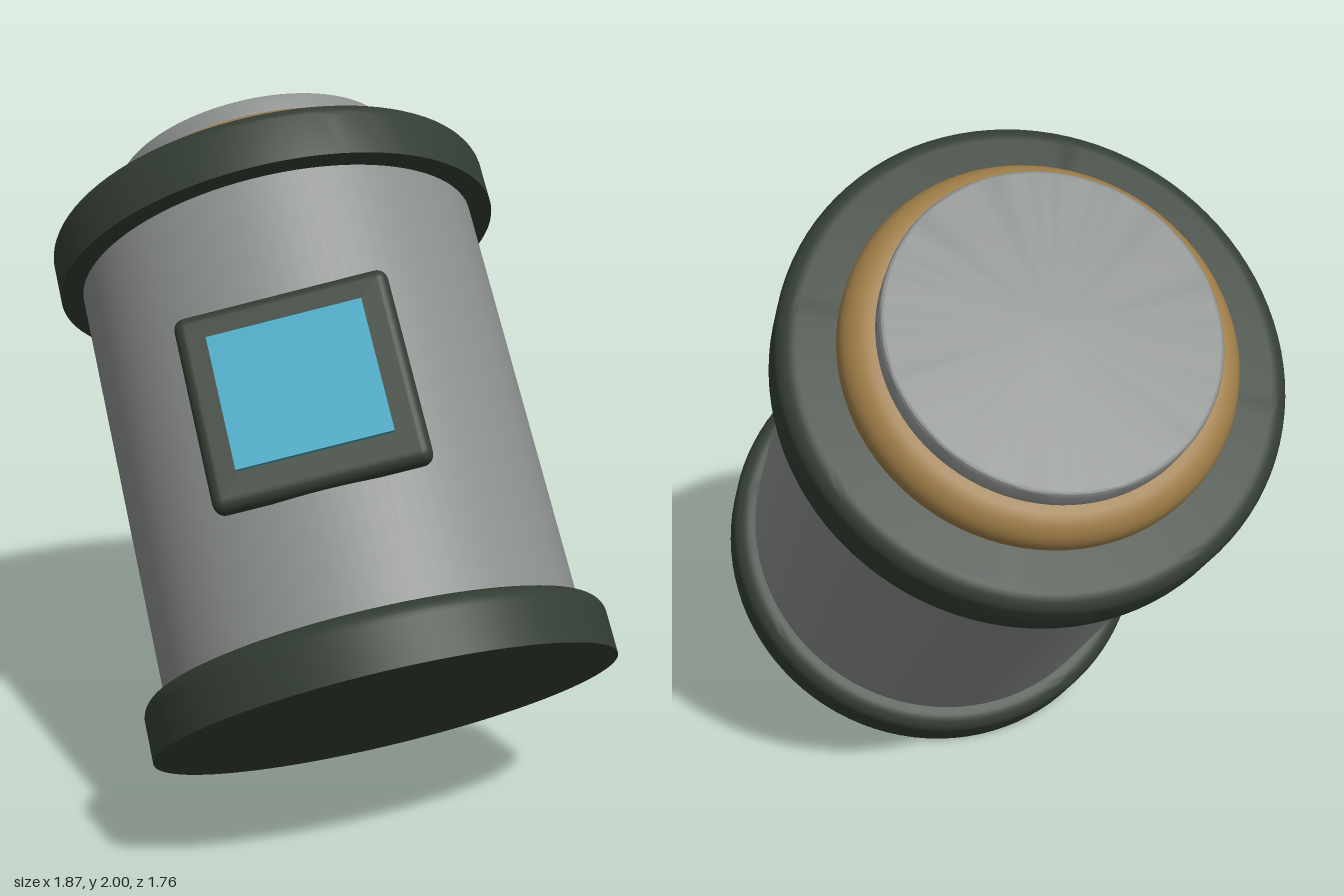
import * as THREE from 'three';
import { toCreasedNormals } from 'three/addons/utils/BufferGeometryUtils.js';
import { RoundedBoxGeometry } from 'three/addons/geometries/RoundedBoxGeometry.js';

function material(name, color) {
  const m = new THREE.MeshStandardMaterial({ color });
  m.name = name;
  return m;
}

// Disc with a flat base at y0 and a rounded upper rim
function roundedDisc(radius, y0, y1, bevel) {
  const points = [new THREE.Vector2(0, y0), new THREE.Vector2(radius, y0)];
  const steps = 8;
  for (let i = 0; i <= steps; i++) {
    const t = (i / steps) * Math.PI / 2;
    points.push(new THREE.Vector2(
      radius - bevel + bevel * Math.cos(t),
      y1 - bevel + bevel * Math.sin(t)
    ));
  }
  points.push(new THREE.Vector2(0, y1));
  return toCreasedNormals(new THREE.LatheGeometry(points, 96), 0.6);
}

export function createModel() {
  const grey = material('grey metal', 0x8a8e8c);
  const dark = material('dark green metal', 0x333d33);
  const brass = material('brass', 0x9c7b46);
  const blue = material('blue glass', 0x3ea6c2);

  const canister = new THREE.Group();
  canister.name = 'canister';
  const add = (name, geometry, mat, x = 0, y = 0, z = 0) => {
    const mesh = new THREE.Mesh(geometry, mat);
    mesh.name = name;
    mesh.position.set(x, y, z);
    canister.add(mesh);
  };

  // Barrel between two matching flanges
  add('body', new THREE.CylinderGeometry(0.585, 0.585, 1.34, 96, 1, true), grey, 0, 0.77, 0);
  add('bottomFlange', roundedDisc(0.65, 0, 0.165, 0.05), dark);
  add('topFlange', roundedDisc(0.65, 1.375, 1.54, 0.05), dark);

  // Stepped lid
  add('lidRing', roundedDisc(0.503, 1.5, 1.635, 0.075), brass);
  add('lidCap', roundedDisc(0.422, 1.6, 1.703, 0.012), grey);

  // Display panel on the side
  add('panelFrame', new RoundedBoxGeometry(0.57, 0.535, 0.08, 4, 0.03), dark, 0, 0.76, 0.585);
  add('panelGlass', new THREE.BoxGeometry(0.41, 0.365, 0.03), blue, 0, 0.765, 0.625);

  // Tilt the canister: local y runs along its axis, local z out of the panel
  const axis = new THREE.Vector3(-0.495, 0.789, -0.364).normalize();
  const side = new THREE.Vector3().crossVectors(axis, new THREE.Vector3(0.353, 0.565, 0.745)).normalize();
  const out = new THREE.Vector3().crossVectors(side, axis);
  canister.quaternion.setFromRotationMatrix(new THREE.Matrix4().makeBasis(side, axis, out));
  canister.position.set(0.37, 0.4, 0.28);

  const model = new THREE.Group();
  model.name = 'tiltedCanister';
  model.add(canister);
  return model;
}
